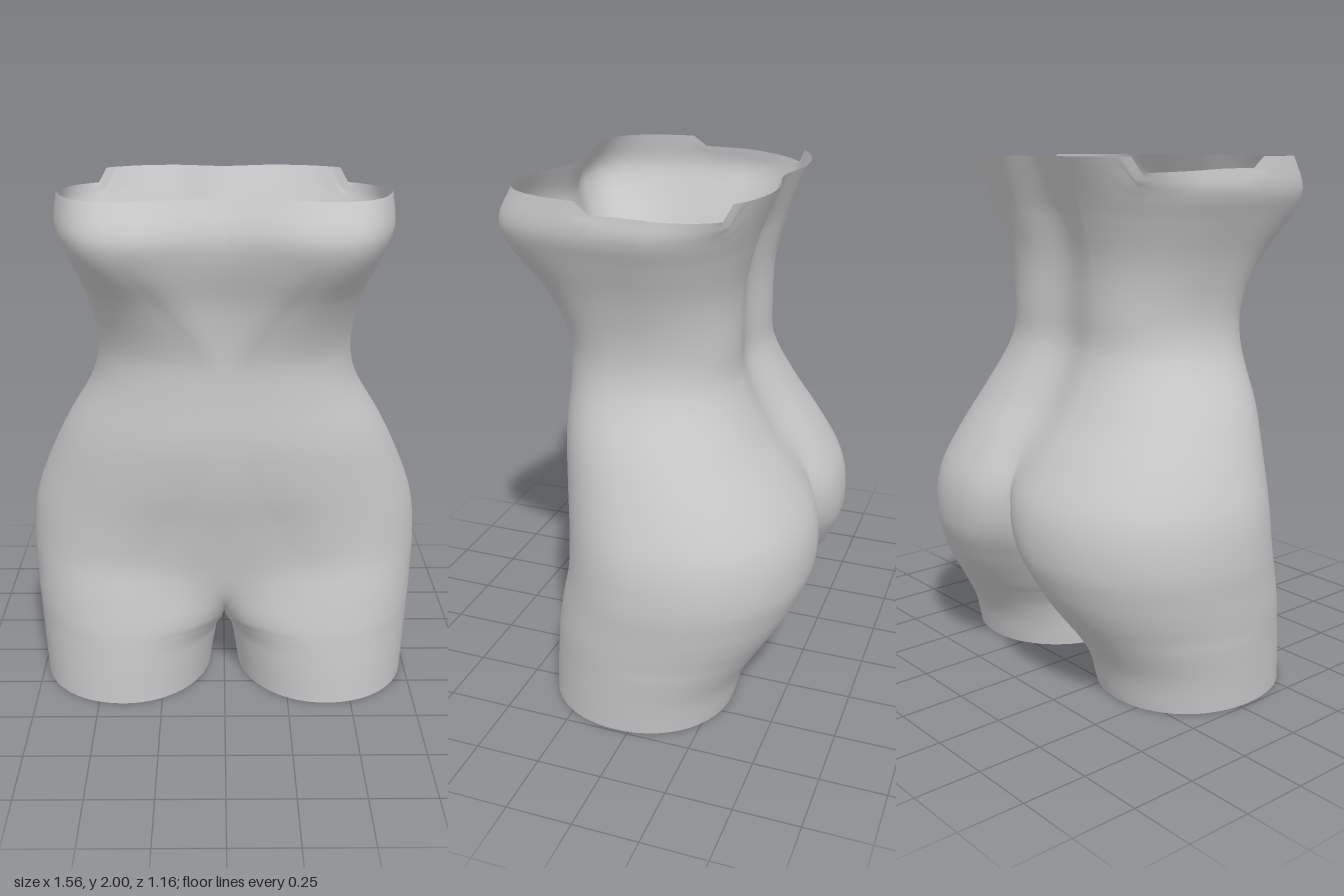
import * as THREE from 'three';
import { mergeVertices } from 'three/addons/utils/BufferGeometryUtils.js';

// Cross-sections, top to bottom:
// height, half width, z of widest point, front centre z, front bulge x, z, back bulge x, z, back centre z
const SECTIONS = [
  [2.00, 0.605, -0.02, 0.445, 0.36, 0.515, 0.20, -0.385, -0.35],
  [1.88, 0.613, 0.00, 0.49, 0.34, 0.578, 0.20, -0.335, -0.30],
  [1.78, 0.575, 0.02, 0.48, 0.32, 0.555, 0.20, -0.30, -0.26],
  [1.62, 0.515, 0.04, 0.43, 0.20, 0.465, 0.20, -0.26, -0.23],
  [1.43, 0.48, 0.05, 0.405, 0.08, 0.408, 0.20, -0.255, -0.225],
  [1.28, 0.505, 0.05, 0.405, 0.08, 0.405, 0.20, -0.265, -0.235],
  [1.08, 0.62, 0.02, 0.415, 0.10, 0.414, 0.21, -0.36, -0.33],
  [0.90, 0.705, -0.02, 0.40, 0.16, 0.395, 0.21, -0.48, -0.445],
  [0.74, 0.762, -0.04, 0.37, 0.26, 0.362, 0.22, -0.565, -0.50],
  [0.57, 0.78, -0.04, 0.34, 0.35, 0.345, 0.24, -0.577, -0.41],
  [0.44, 0.773, -0.02, 0.315, 0.38, 0.367, 0.28, -0.533, -0.22],
  [0.36, 0.768, 0.00, 0.27, 0.38, 0.382, 0.31, -0.49, -0.09],
  [0.30, 0.763, 0.01, 0.19, 0.38, 0.392, 0.33, -0.45, 0.00],
  [0.25, 0.76, 0.01, 0.08, 0.38, 0.397, 0.35, -0.415, 0.08],
  [0.13, 0.75, 0.03, 0.05, 0.39, 0.405, 0.38, -0.345, 0.05],
  [0.00, 0.74, 0.05, 0.03, 0.40, 0.41, 0.40, -0.31, 0.03],
];
const STEPS = 4;   // rows between sections
const ARC = 16;    // columns in each quarter of a half ring
const CROTCH = 0.25;

const smooth = THREE.MathUtils.smoothstep;
const mix = THREE.MathUtils.lerp;

// Smooth interpolation down the sections, allowing for their uneven spacing
function sectionAt(row) {
  const last = SECTIONS.length - 1;
  const i = Math.min(Math.floor(row / STEPS), last - 1);
  const t = row / STEPS - i;
  const slope = (k, c) => {
    const a = SECTIONS[Math.max(k - 1, 0)], b = SECTIONS[Math.min(k + 1, last)];
    return (b[c] - a[c]) / (b[0] - a[0]);
  };
  const p = SECTIONS[i], q = SECTIONS[i + 1], h = q[0] - p[0];
  return p.map((v, c) => {
    const s = t * t * (3 - 2 * t);
    return mix(v, q[c], s) + h * t * (1 - t) * ((1 - t) * slope(i, c) - t * slope(i + 1, c));
  });
}

// Curve from the centre line out to a bulge: gentle swell (round = 0) to a deep quarter ellipse (round = 1)
function innerArc(t, x0, z0, x1, z1, round) {
  const a = t * Math.PI / 2;
  const u = mix(t, 1 - Math.cos(a), round);
  const v = mix((1 - Math.cos(Math.PI * t)) / 2, Math.sin(a), round);
  return [mix(x0, x1, u), mix(z0, z1, v)];
}

// Rounded corner from a bulge (t = 0) to the side (t = 1)
function outerArc(t, x0, z0, x1, z1, power) {
  const a = t * Math.PI / 2;
  return [mix(x0, x1, Math.sin(a) ** (2 / power)), mix(z1, z0, Math.max(0, Math.cos(a)) ** (2 / power))];
}

// Half ring from front centre round the side to back centre; it closes into a leg below the crotch
function halfRing(row) {
  const [y, w, zs, zf, xF, zF, xB, zB, zc] = sectionAt(row);
  const inner = 0.057 * Math.sqrt(Math.max(0, CROTCH - y) / CROTCH);
  const roundFront = 1 - smooth(y, 0.25, 0.55);
  const roundBack = 1 - smooth(y, 0.6, 1.0);
  const power = mix(2.1, 2.8, smooth(y, 0.7, 1.9));
  const flat = [];
  for (let i = 0; i < ARC; i++) flat.push(innerArc(i / ARC, inner, zf, xF, zF, roundFront));
  for (let i = 0; i < ARC; i++) flat.push(outerArc(i / ARC, xF, zF, w, zs, power));
  for (let i = ARC; i > 0; i--) flat.push(outerArc(i / ARC, xB, zB, w, zs, 2.1));
  for (let i = ARC; i >= 0; i--) flat.push(innerArc(i / ARC, inner, zc, xB, zB, roundBack));
  return flat.map(([x, z]) => {
    // Rim dips at the sides
    const rim = z < 0.16 && z > -0.3 ? 1.96 + 0.05 * Math.min(0, z) : 2;
    const h = y > 1.88 ? mix(1.88, rim, (y - 1.88) / 0.12) : y;
    return [x, Math.max(0, h), z];
  });
}

// Both mirrored halves welded into one open shell
function shellGeometry() {
  const rows = (SECTIONS.length - 1) * STEPS + 1;
  const cols = ARC * 4 + 1;
  const positions = [], index = [];
  for (const side of [1, -1]) {
    const base = positions.length / 3;
    for (let r = 0; r < rows; r++) {
      for (const [x, y, z] of halfRing(r)) positions.push(side * x, y, z);
    }
    for (let r = 0; r < rows - 1; r++) {
      for (let c = 0; c < cols - 1; c++) {
        const a = base + r * cols + c, b = a + 1, d = a + cols, e = d + 1;
        if (side > 0) index.push(a, d, b, b, d, e);
        else index.push(a, b, d, b, e, d);
      }
    }
  }
  const geometry = new THREE.BufferGeometry();
  geometry.setAttribute('position', new THREE.Float32BufferAttribute(positions, 3));
  geometry.setIndex(index);
  const welded = mergeVertices(geometry, 1e-4);
  welded.computeVertexNormals();
  return welded;
}

export function createModel() {
  const model = new THREE.Group();
  model.name = 'mannequinTorso';
  const material = new THREE.MeshStandardMaterial({ color: 0xc8c8c8, side: THREE.DoubleSide });
  material.name = 'plain grey';
  const torso = new THREE.Mesh(shellGeometry(), material);
  torso.name = 'torsoShell';
  model.add(torso);
  return model;
}
